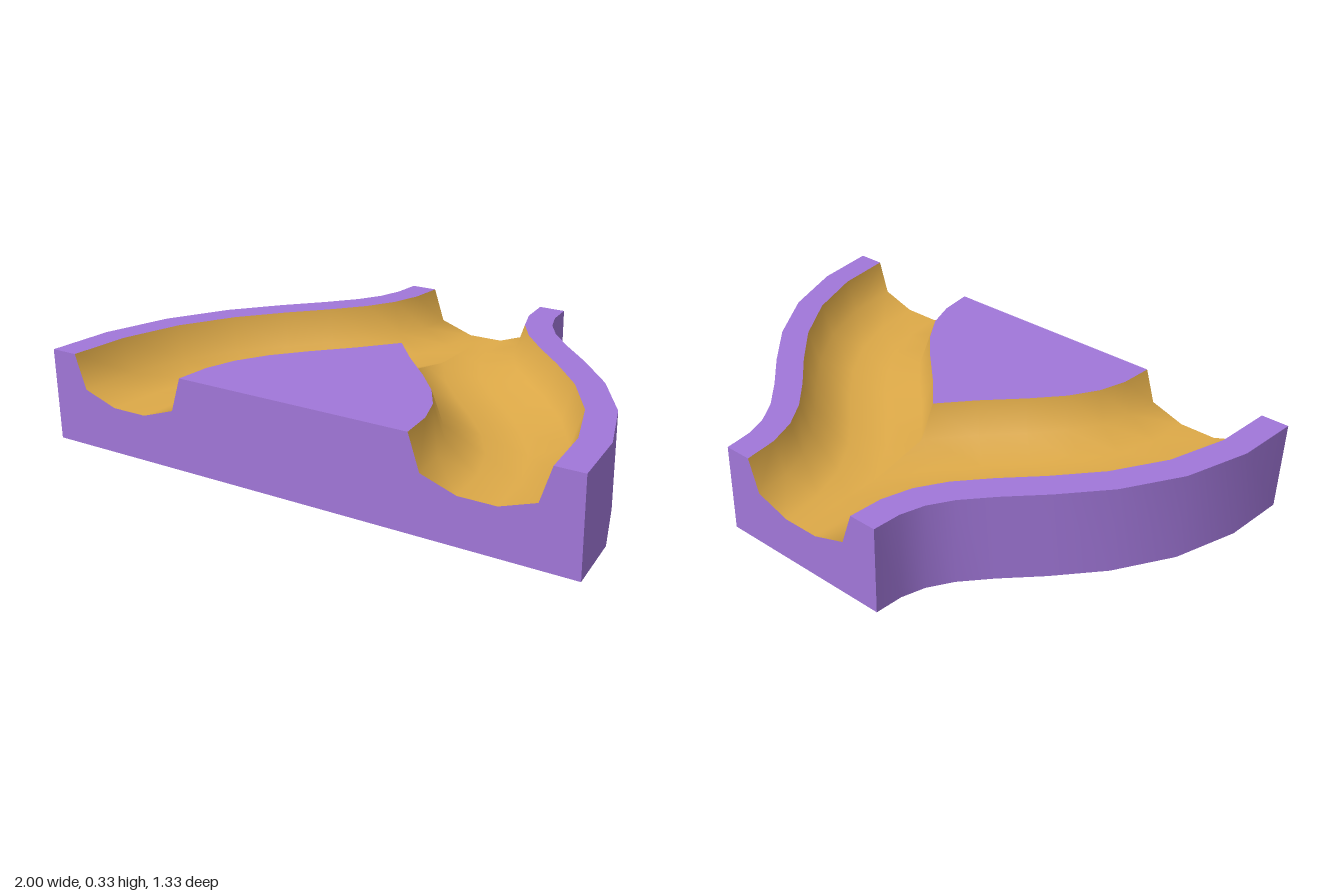
import * as THREE from 'three';

const H = 0.333, HALF = 0.667, STEPS = 9;
const OUTER = 0.333; // half width of one branch
// Channel cross-section: [offset from branch centreline, height]
const PROFILE = [[0.233, H], [0.193, 0.21], [0.067, 0.167], [-0.067, 0.167], [-0.193, 0.21], [-0.233, H]];

// Skin consecutive cross-sections with smooth normals
function strip(rows) {
  const n = rows[0].length, index = [];
  for (let i = 0; i < rows.length - 1; i++) {
    for (let j = 0; j < n - 1; j++) {
      const a = i * n + j, b = a + n;
      index.push(a, a + 1, b, a + 1, b + 1, b);
    }
  }
  const g = new THREE.BufferGeometry().setFromPoints(rows.flat());
  g.setIndex(index);
  g.computeVertexNormals();
  return g.toNonIndexed();
}

// Keep only the part of a triangle soup with x >= 0
function clipAtCentre(g) {
  const P = g.attributes.position, N = g.attributes.normal, pos = [], nor = [];
  const read = (i) => ({
    p: new THREE.Vector3().fromBufferAttribute(P, i),
    n: new THREE.Vector3().fromBufferAttribute(N, i),
  });
  for (let i = 0; i < P.count; i += 3) {
    const tri = [read(i), read(i + 1), read(i + 2)], poly = [];
    tri.forEach((a, k) => {
      const b = tri[(k + 1) % 3];
      if (a.p.x >= 0) poly.push(a);
      if ((a.p.x >= 0) !== (b.p.x >= 0)) {
        const t = a.p.x / (a.p.x - b.p.x);
        poly.push({ p: a.p.clone().lerp(b.p, t), n: a.n.clone().lerp(b.n, t).normalize() });
      }
    });
    for (let k = 1; k < poly.length - 1; k++) {
      for (const v of [poly[0], poly[k], poly[k + 1]]) {
        pos.push(...v.p.toArray());
        nor.push(...v.n.toArray());
      }
    }
  }
  const out = new THREE.BufferGeometry();
  out.setAttribute('position', new THREE.Float32BufferAttribute(pos, 3));
  out.setAttribute('normal', new THREE.Float32BufferAttribute(nor, 3));
  return out;
}

// Mirror to the other side, restoring the winding
function mirrored(g) {
  const m = g.clone().scale(-1, 1, 1), index = [];
  for (let i = 0; i < m.attributes.position.count; i += 3) index.push(i, i + 2, i + 1);
  m.setIndex(index);
  return m;
}

// Flat face from half an outline (x >= 0), completed by mirroring
function symmetricFace(half) {
  const other = half.map(([x, y]) => new THREE.Vector2(-x, y)).reverse();
  const pts = [...half.map(([x, y]) => new THREE.Vector2(x, y)), ...other];
  const clean = pts.filter((p, i) => p.distanceTo(pts[(i + 1) % pts.length]) > 1e-5);
  return new THREE.ShapeGeometry(new THREE.Shape(clean));
}

export function createModel() {
  const group = new THREE.Group();
  const purple = new THREE.MeshStandardMaterial({ color: 0xa177d9 });
  purple.name = 'purple body';
  const gold = new THREE.MeshStandardMaterial({ color: 0xdeaa48 });
  gold.name = 'golden channel';
  const add = (name, geometry, material) => {
    const mesh = new THREE.Mesh(geometry, material);
    mesh.name = name;
    group.add(mesh);
  };
  const addPair = (name, geometry, material) => {
    add('left' + name, geometry, material);
    add('right' + name, mirrored(geometry), material);
  };

  // S-curved centreline of the left branch
  const path = new THREE.CubicBezierCurve3(
    new THREE.Vector3(0, 0, -HALF), new THREE.Vector3(0, 0, 0),
    new THREE.Vector3(HALF, 0, 0), new THREE.Vector3(HALF, 0, HALF));
  const sections = [];
  for (let i = 0; i <= STEPS; i++) {
    const c = path.getPointAt(i / STEPS), t = path.getTangentAt(i / STEPS);
    if (i === 0 || i === STEPS) t.set(0, 0, 1);
    sections.push((s, y) => new THREE.Vector3(c.x + t.z * s, y, c.z - t.x * s));
  }

  // Channels, side walls and rims
  addPair('Channel', clipAtCentre(strip(sections.map((at) => PROFILE.map(([s, y]) => at(s, y))))), gold);
  addPair('SideWall', strip(sections.map((at) => [at(OUTER, 0), at(OUTER, H)])), purple);
  addPair('Rim', strip(sections.map((at) => [at(OUTER, H), at(0.233, H)])), purple);

  // Flat island between the branches, pointed where the inner edges meet
  const edge = sections.map((at) => at(-0.233, H));
  const first = edge.findIndex((p) => p.x > 0);
  const a = edge[first - 1], b = edge[first];
  const tip = a.clone().lerp(b, a.x / (a.x - b.x));
  const island = [tip, ...edge.slice(first)].map((p) => [Math.max(p.x, 0), -p.z]);
  add('centreIsland', symmetricFace(island).rotateX(-Math.PI / 2).translate(0, H, 0), purple);

  // Underside
  const outline = sections.map((at) => at(OUTER, 0)).map((p) => [p.x, p.z]);
  add('underside', symmetricFace(outline).rotateX(Math.PI / 2), purple);

  // End faces cut by the channel profile
  const front = [[0, 0], [1, 0], [1, H], ...PROFILE.map(([s, y]) => [HALF + s, y]), [0, H]];
  add('frontFace', symmetricFace(front).translate(0, 0, HALF), purple);
  const back = [[0, 0], [OUTER, 0], [OUTER, H], ...PROFILE.slice(0, 3)];
  add('backFace', symmetricFace(back).rotateY(Math.PI).translate(0, 0, -HALF), purple);

  return group;
}
